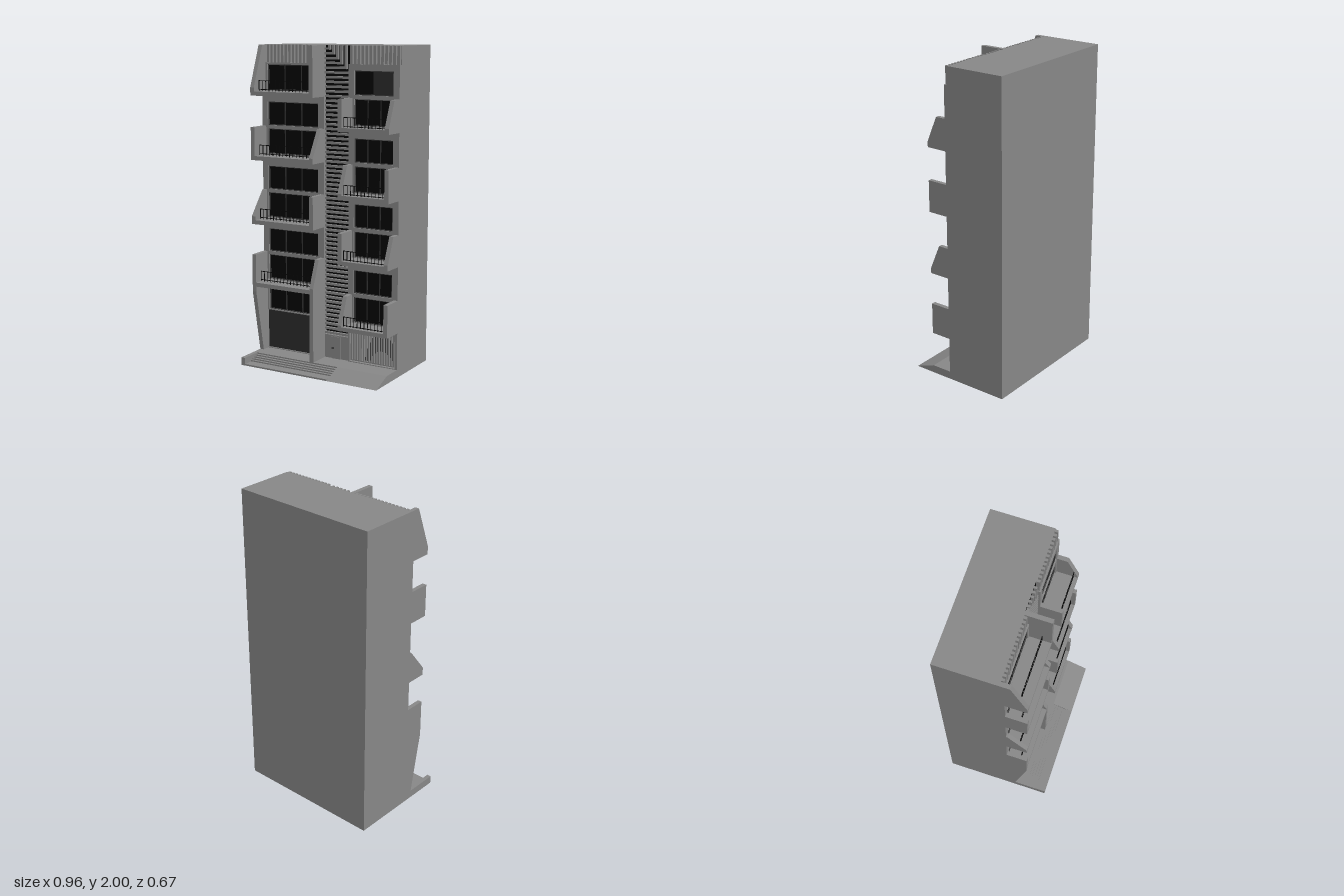
import * as THREE from 'three';

const mat = (color) => new THREE.MeshStandardMaterial({ color, flatShading: true });

export function createModel() {
  const model = new THREE.Group();
  const grey = mat(0x868686), black = mat(0x050505), dark = mat(0x2b2b2b), frameMat = mat(0x404040);

  // box given by its limits on each axis
  function box(name, x0, x1, y0, y1, z0, z1, m = grey) {
    const mesh = new THREE.Mesh(new THREE.BoxGeometry(x1 - x0, y1 - y0, z1 - z0), m);
    mesh.position.set((x0 + x1) / 2, (y0 + y1) / 2, (z0 + z1) / 2);
    mesh.name = name;
    model.add(mesh);
  }

  // side profile of [z, y] points, extruded from x0 to x1
  function profile(name, x0, x1, pts) {
    const shape = new THREE.Shape(pts.map(([z, y]) => new THREE.Vector2(z, y)));
    const geo = new THREE.ExtrudeGeometry(shape, { depth: x1 - x0, bevelEnabled: false });
    geo.rotateY(-Math.PI / 2).translate(x1, 0, 0);
    const mesh = new THREE.Mesh(geo, grey);
    mesh.name = name;
    model.add(mesh);
  }

  const SIDE = 0.482, WALL = 0.07, CORE = 0.04, FRONT = 0.202, KERB = 0.336;

  // main block and base
  box('mainBlock', -SIDE, SIDE, 0, 2, -0.337, CORE);
  box('terrace', -SIDE, SIDE, 0, 0.05, CORE, FRONT);

  // entrance steps, side kerb and garage ramp
  [KERB, 0.27, 0.254, 0.237, 0.219].forEach((z, i) =>
    box('step', -0.455, 0.14, i * 0.008, 0.01 + i * 0.008, FRONT, z));
  box('kerb', -SIDE, -0.455, 0, 0.05, FRONT, KERB);
  profile('ramp', 0.14, SIDE, [[FRONT, 0], [KERB, 0], [FRONT, 0.05]]);

  // facade slab with an opening for each [x0, x1, y0, y1]
  function facade(name, x0, x1, holes) {
    const rect = (P, a, b, c, d) => {
      const p = new P();
      p.moveTo(a, c); p.lineTo(b, c); p.lineTo(b, d); p.lineTo(a, d); p.closePath();
      return p;
    };
    const shape = rect(THREE.Shape, x0, x1, 0.05, 1.89);
    holes.forEach((h) => shape.holes.push(rect(THREE.Path, ...h)));
    const geo = new THREE.ExtrudeGeometry(shape, { depth: WALL - CORE, bevelEnabled: false });
    const mesh = new THREE.Mesh(geo.translate(0, 0, CORE), grey);
    mesh.name = name;
    model.add(mesh);
  }

  // glazing with a thin frame and mullions
  function windowPane(x0, x1, y0, y1, panes) {
    const t = 0.005, z0 = CORE, z1 = 0.062;
    box('glass', x0, x1, y0, y1, z0, 0.055, black);
    box('windowSill', x0, x1, y0, y0 + t, z0, z1, frameMat);
    box('windowHead', x0, x1, y1 - t, y1, z0, z1, frameMat);
    for (let i = 0; i <= panes; i++) {
      const x = x0 + (x1 - x0 - t) * i / panes;
      box('mullion', x, x + t, y0, y1, z0, z1, i % panes ? dark : frameMat);
    }
  }

  // balcony railing
  function railing(x0, x1, y, z) {
    const top = y + 0.068, n = Math.round((x1 - x0) / 0.024);
    box('topRail', x0, x1, top - 0.004, top, z - 0.0015, z + 0.0015, black);
    box('bottomRail', x0, x1, y + 0.01, y + 0.014, z - 0.0015, z + 0.0015, black);
    for (let i = 0; i <= n; i++) {
      const x = x0 + 0.0015 + (x1 - x0 - 0.003) * i / n;
      box('baluster', x - 0.0015, x + 0.0015, y, top, z - 0.0015, z + 0.0015, black);
    }
  }

  // cheek wall, leaning back to zTop above the lean height
  const cheek = (x0, x1, y0, y1, zTop, lean = 0.035) =>
    profile('balconyCheek', x0, x1, [[CORE, y0], [FRONT, y0], [FRONT, y0 + lean], [zTop, y1], [CORE, y1]]);

  // the two bays have balconies at alternating levels
  const leftLevels = [0.483, 0.885, 1.29, 1.69], rightLevels = [0.28, 0.69, 1.09, 1.495];

  // left bay
  const leftTops = [0.69, 1.09, 1.495, 2];
  const leftOuter = [FRONT, 0.08, FRONT, 0.105], leftInner = [0.134, FRONT, 0.106, FRONT];
  const leftHoles = [[-0.455, -0.06, 0.055, 0.305], [-0.443, -0.075, 0.312, 0.465]];
  leftLevels.forEach((y, i) => {
    leftHoles.push([-0.443, -0.075, y + 0.03, y + 0.188]);
    if (i < 3) leftHoles.push([-0.443, -0.075, y + 0.21, y + 0.357]);
    box('balconyFloor', -0.455, -0.06, y, y + 0.026, CORE, FRONT);
    if (i > 0) cheek(-SIDE, -0.455, y, leftTops[i], leftOuter[i], 0.05);
    cheek(-0.06, -0.033, y, leftTops[i], leftInner[i]);
    railing(-0.455, -0.06, y + 0.024, 0.147);
  });
  facade('leftFacade', -SIDE, -0.033, leftHoles);
  leftHoles.slice(1).forEach((h) => windowPane(...h, 3));
  box('groundPanel', -0.455, -0.06, 0.055, 0.305, CORE, 0.06, dark);
  profile('groundSideWall', -SIDE, -0.455, [[CORE, 0.05], [0.125, 0.05], [FRONT, 0.45], [FRONT, 0.69], [CORE, 0.69]]);
  box('entranceFin', -0.06, -0.033, 0.05, 0.483, CORE, FRONT);

  // right bay
  const rightOuter = [FRONT, 0.134, FRONT, 0.134], rightInner = [0.134, FRONT, 0.134, FRONT];
  const rightHoles = [[0.15, 0.465, 0.055, 0.268]];
  rightLevels.forEach((y, i) => {
    rightHoles.push([0.178, 0.442, y + 0.03, y + 0.188], [0.178, 0.442, y + 0.212, y + 0.357]);
    box('balconyFloor', 0.167, 0.455, y, y + 0.026, CORE, FRONT);
    cheek(0.455, SIDE, y, leftLevels[i], rightOuter[i]);
    cheek(0.14, 0.167, y, leftLevels[i], rightInner[i]);
    railing(0.167, 0.455, y + 0.02, 0.177);
  });
  facade('rightFacade', 0.14, SIDE, rightHoles);
  rightHoles.slice(1).forEach((h, i) => windowPane(...h, i === 7 ? 2 : 3));
  box('windowShutter', 0.305, 0.437, 1.712, 1.847, 0.05, 0.063, dark);

  // garage gate
  box('gateBack', 0.15, 0.465, 0.055, 0.268, CORE, 0.05, black);
  box('gateTop', 0.156, 0.459, 0.256, 0.263, 0.05, 0.064);
  box('gateBottom', 0.156, 0.459, 0.06, 0.067, 0.05, 0.064);
  for (let i = 0; i < 18; i++) {
    const x = 0.156 + i * 0.0173;
    box('gateBar', x, x + 0.009, 0.06, 0.263, 0.05, 0.064);
  }

  // corrugated parapet
  function parapet(x0, x1) {
    const n = Math.round((x1 - x0) / 0.026), p = (x1 - x0) / n;
    box('parapetBack', x0, x1, 1.89, 2, CORE, 0.044);
    for (let i = 0; i < n; i++)
      box('parapetRib', x0 + p * (i + 0.2), x0 + p * (i + 0.8), 1.89, 2, CORE, 0.062);
  }
  parapet(-0.455, -0.06);
  parapet(0.14, SIDE);

  // central louvre strip, with the top bars bending upward
  box('louvreBack', -0.033, 0.14, 0.2, 1.999, CORE, 0.041, black);
  const pitch = 0.0285, bar = 0.014, bends = 5;
  for (let i = 0, y = 0.205; y + bar < 2; i++, y += pitch) {
    const k = Math.floor((2 - bar - y) / pitch); // bars left above this one
    const x1 = k < bends ? 0.14 - (bends - k) * pitch + 0.006 : 0.14;
    box('louvre', -0.033, x1, y, y + bar, CORE, 0.058);
  }
  const barCount = Math.floor((2 - bar - 0.205) / pitch);
  for (let j = 0; j < bends; j++) {
    const x1 = 0.14 - (bends - j) * pitch + 0.006;
    box('louvreUpright', x1 - bar, x1, 0.205 + (barCount - j) * pitch, 2, CORE, 0.058);
  }

  // entrance wall and door
  box('entranceWall', -0.033, 0.14, 0.05, 0.2, CORE, 0.058);
  box('doorFrame', 0.013, 0.087, 0.05, 0.196, 0.058, 0.06);
  box('door', 0.017, 0.083, 0.05, 0.192, 0.058, 0.063);
  box('doorHandle', 0.02, 0.036, 0.115, 0.12, 0.063, 0.067, black);

  return model;
}
